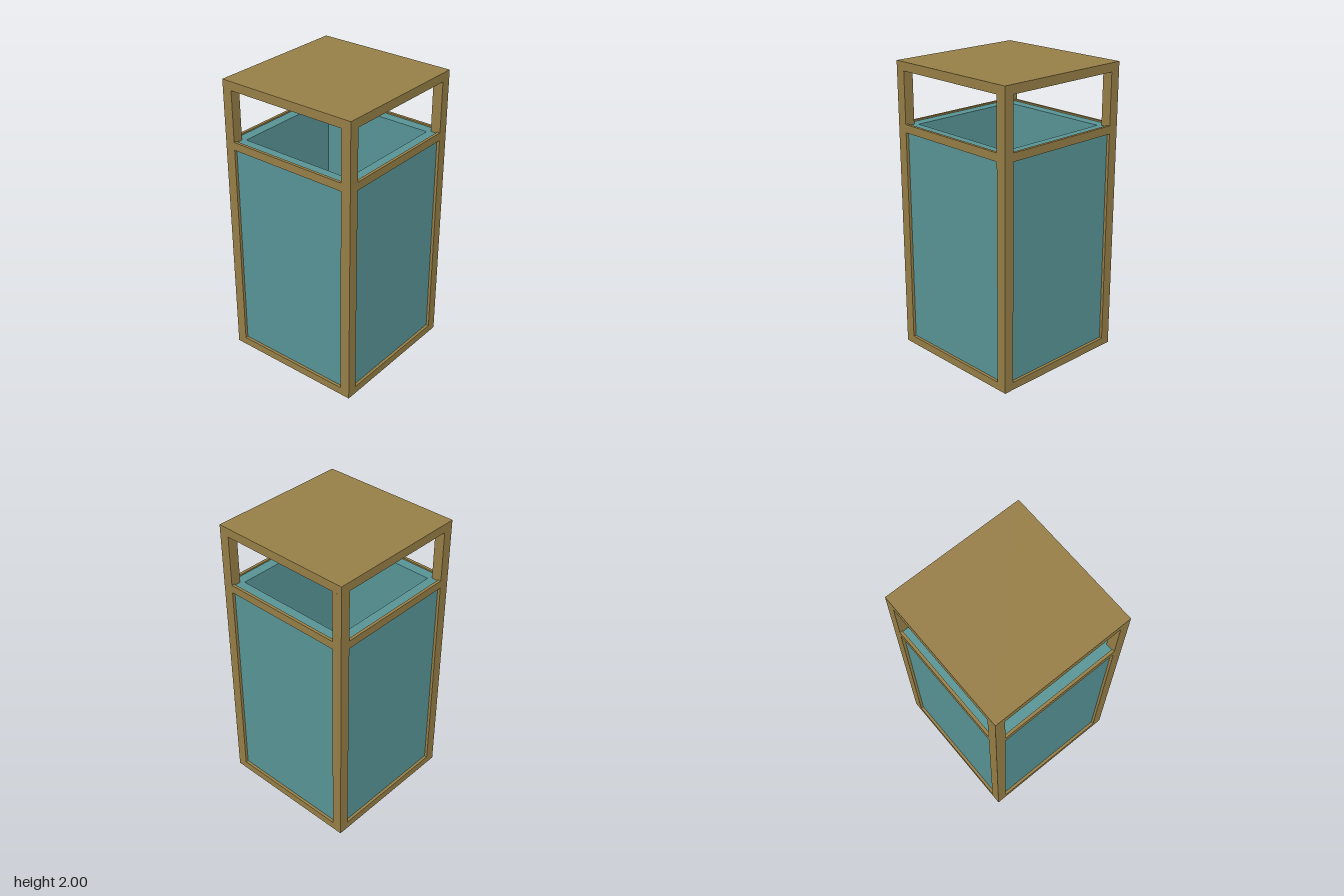
import * as THREE from 'three';

export function createModel() {
  const model = new THREE.Group();
  model.name = 'litterBin';
  const wood = new THREE.MeshStandardMaterial({ color: 0x967e46, flatShading: true });
  const teal = new THREE.MeshStandardMaterial({ color: 0x589496, flatShading: true });

  const half = 0.5, post = 0.07, inset = 0.02, wall = 0.07;
  const baseTop = 0.055, roofBottom = 1.94, height = 2;
  const railBottom = 1.535, railTop = 1.59, binTop = 1.58;

  // Box given by its centre in plan and its bottom and top heights
  function box(name, parent, w, d, y0, y1, x = 0, z = 0) {
    const mesh = new THREE.Mesh(new THREE.BoxGeometry(w, y1 - y0, d), wood);
    mesh.position.set(x, (y0 + y1) / 2, z);
    mesh.name = name;
    parent.add(mesh);
  }

  // Base and roof slabs
  box('base', model, 2 * half, 2 * half, 0, baseTop);
  box('roof', model, 2 * half, 2 * half, roofBottom, height);

  // Four sides, each with a corner post and a thin rail over the panel
  for (let i = 0; i < 4; i++) {
    const side = new THREE.Group();
    side.name = 'frameSide';
    const p = half - post / 2;
    box('cornerPost', side, post, post, baseTop, roofBottom, p, p);
    box('rail', side, 2 * (half - post), inset, railBottom, railTop, 0, half - inset / 2);
    side.rotation.y = i * Math.PI / 2;
    model.add(side);
  }

  // Open-topped container with thick walls, set back behind the frame
  const square = (r, Type) => new Type([[-r, -r], [r, -r], [r, r], [-r, r]].map(([x, y]) => new THREE.Vector2(x, y)));
  const outline = square(half - inset, THREE.Shape);
  outline.holes.push(square(half - inset - wall, THREE.Path));
  const geometry = new THREE.ExtrudeGeometry(outline, { depth: binTop - baseTop, bevelEnabled: false });
  geometry.rotateX(-Math.PI / 2);
  const container = new THREE.Mesh(geometry, teal);
  container.position.y = baseTop;
  container.name = 'container';
  model.add(container);

  // Container floor
  const floorSize = 2 * (half - inset - wall);
  const floor = new THREE.Mesh(new THREE.BoxGeometry(floorSize, 0.02, floorSize), teal);
  floor.position.y = baseTop + 0.01;
  floor.name = 'containerFloor';
  model.add(floor);

  return model;
}
